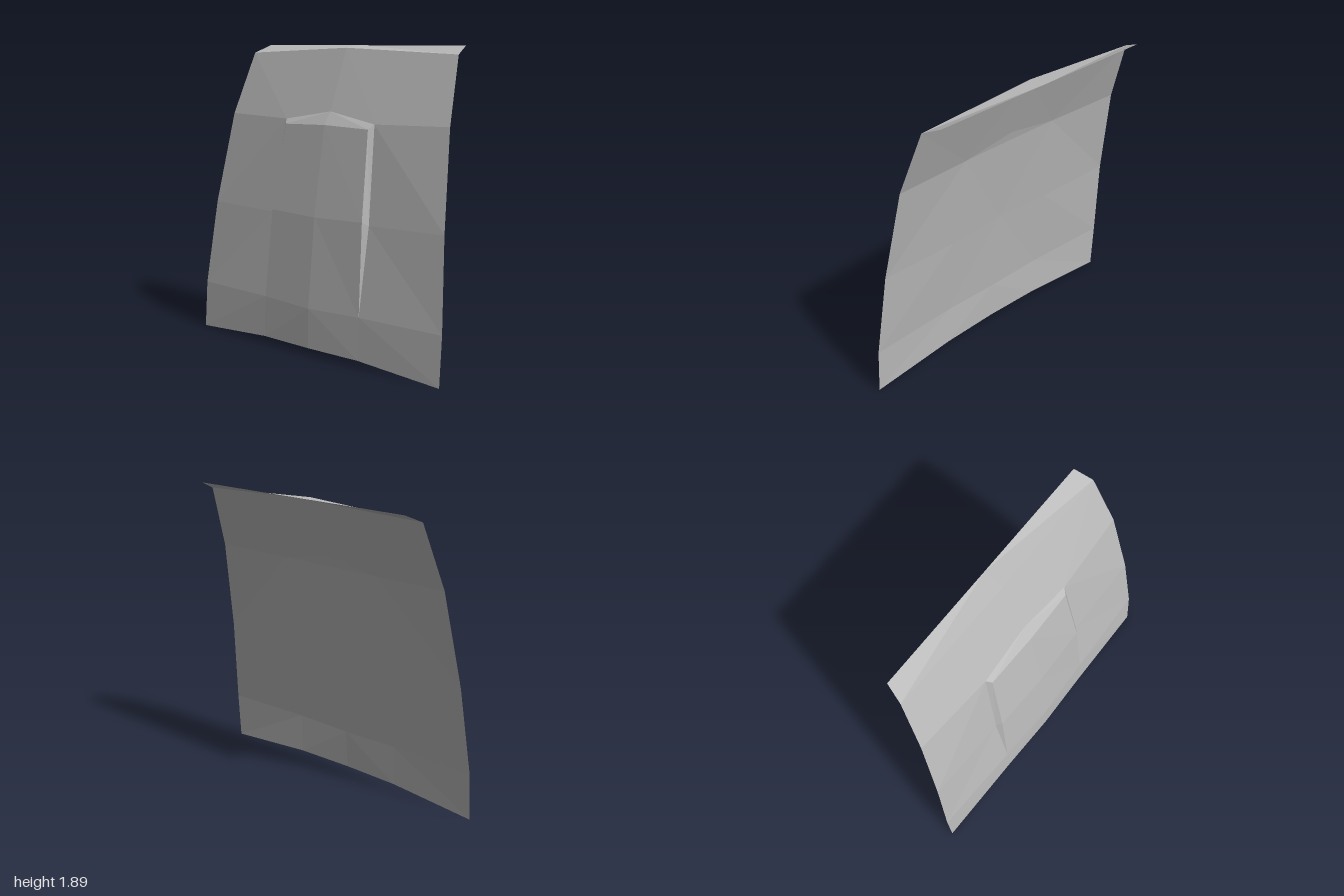
import * as THREE from 'three';

const paint = new THREE.MeshStandardMaterial({ color: 0xbcbcbc, flatShading: true, side: THREE.DoubleSide });
paint.name = 'grey paint';

// Collects faces given for the +x half and mirrors them to the -x half.
function mirroredMesh(name, faces) {
  const pos = [];
  for (const [a, b, c, d] of faces) {
    const tris = d ? [[a, b, d], [b, c, d]] : [[a, b, c]];
    for (const t of tris) {
      for (const p of t) pos.push(...p);
      for (const [x, y, z] of [t[0], t[2], t[1]]) pos.push(-x, y, z);
    }
  }
  const geo = new THREE.BufferGeometry();
  geo.setAttribute('position', new THREE.Float32BufferAttribute(pos, 3));
  geo.computeVertexNormals();
  const mesh = new THREE.Mesh(geo, paint);
  mesh.name = name;
  return mesh;
}

// Quads between cross-sections that run from the centre line outwards;
// each is split from its lower outer to its upper inner corner.
function loft(rows) {
  const faces = [];
  for (let r = 0; r + 1 < rows.length; r++) {
    for (let i = 0; i + 1 < rows[r].length; i++) {
      faces.push([rows[r][i], rows[r][i + 1], rows[r + 1][i + 1], rows[r + 1][i]]);
    }
  }
  return faces;
}

export function createModel() {
  const group = new THREE.Group();
  group.name = 'hoodPanel';

  // Panel cross-sections, front edge to the crease: centre, bulge foot, outer edge
  const front = [[0, 0.04, 0.238], [0.4, 0.04, 0.228], [1, 0, 0.215]];
  const low = [[0, 0.29, 0.222], [0.4, 0.3, 0.218], [1, 0.3, 0.195]];
  const mid = [[0, 0.85, 0.15], [0.41, 0.84, 0.142], [0.957, 0.85, 0.13]];
  const crease = [[0, 1.43, 0.052], [0.37, 1.43, 0.05], [0.9, 1.44, 0.018]];
  const peak = [0, 1.49, 0.035];
  const rearCentre = [0, 1.875, -0.11], rearEdge = [0.845, 1.84, -0.125];

  const panel = loft([front, low, mid]);
  // flat under the scoop mouth, then the outer quad
  panel.push([mid[0], crease[1], crease[0]], [mid[0], mid[1], crease[1]]);
  panel.push(...loft([mid.slice(1), crease.slice(1)]));
  // steeper rear section
  panel.push([crease[0], crease[1], peak]);
  panel.push([peak, crease[1], rearEdge, rearCentre]);
  panel.push([crease[1], crease[2], rearEdge]);
  group.add(mirroredMesh('mainPanel', panel));

  // Rear lip turned back
  group.add(mirroredMesh('rearLip', loft([
    [rearCentre, rearEdge],
    [[0, 1.89, -0.24], [0.81, 1.89, -0.24]],
  ])));

  // Raised centre bulge
  const top = [
    [front[0], front[1]],
    [[0, 0.29, 0.235], low[1]],
    [[0, 0.85, 0.18], [0.38, 0.86, 0.17]],
    [[0, 1.41, 0.09], [0.345, 1.4, 0.08]],
  ];
  group.add(mirroredMesh('bulgeTop', loft(top)));
  group.add(mirroredMesh('bulgeSide', [
    [low[1], mid[1], top[2][1]],
    [top[2][1], mid[1], crease[1], top[3][1]],
  ]));
  group.add(mirroredMesh('bulgeEnd', [[top[3][0], top[3][1], crease[1], peak]]));

  return group;
}
